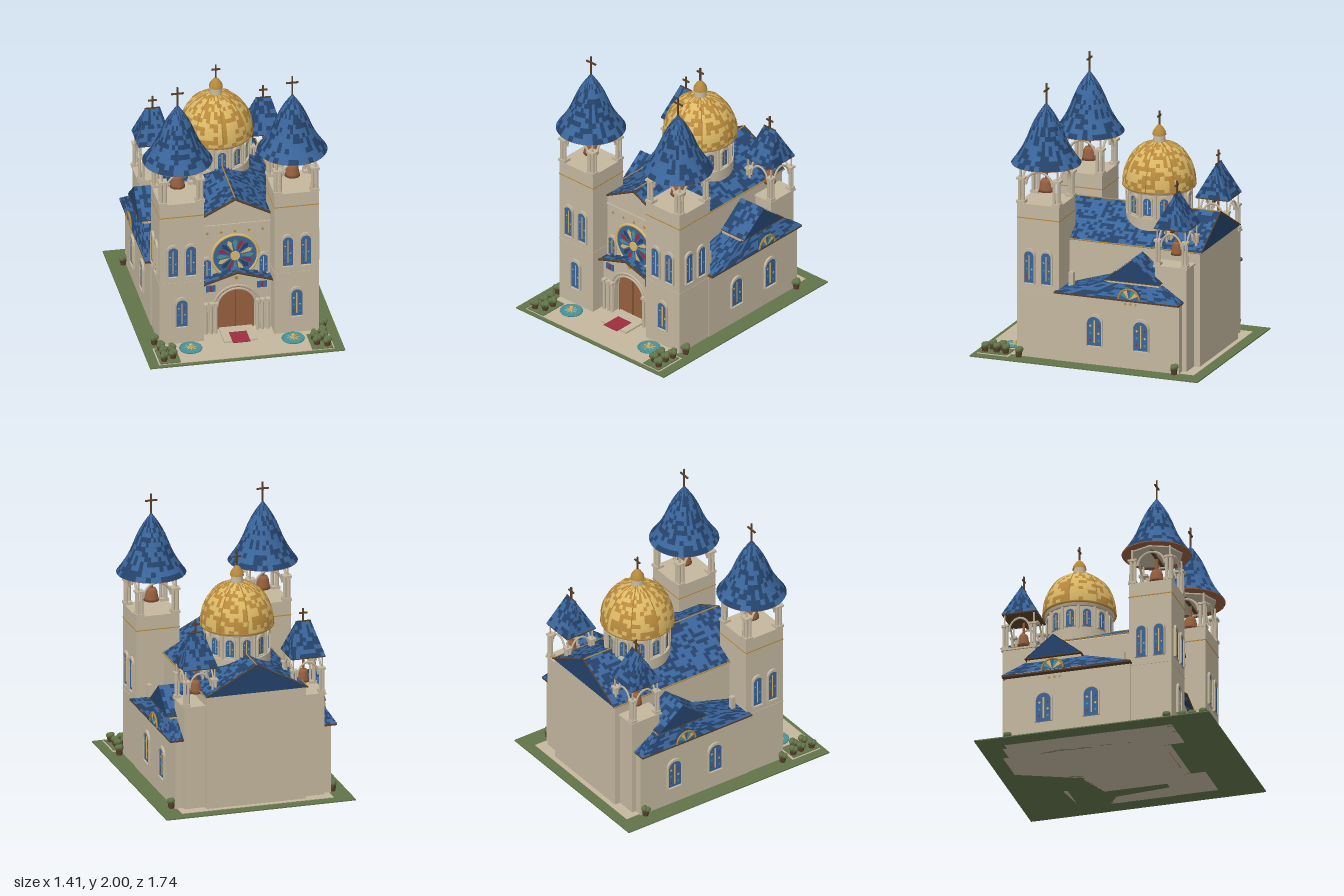
import * as THREE from 'three';

const mat = (name, color, side = THREE.FrontSide) => {
  const m = new THREE.MeshStandardMaterial({ color, side });
  m.name = name;
  return m;
};
const D = THREE.DoubleSide;
const M = {
  stone: mat('stone', 0xc4b79f), blue: mat('blue tile', 0x3a659b, D), navy: mat('navy tile', 0x24426b, D),
  gold: mat('gold', 0xb88a3c, D), pale: mat('pale gold', 0xdcb866, D), wood: mat('copper brown', 0x965f3e),
  bronze: mat('dark bronze', 0x5a4028, D), grass: mat('grass', 0x62744a), teal: mat('teal', 0x4a9298, D),
  red: mat('crimson', 0x9c2d40, D),
};

let seed = 7;
const rnd = () => (seed = (seed * 16807) % 2147483647) / 2147483647;

function add(parent, name, geo, material, x = 0, y = 0, z = 0) {
  const m = new THREE.Mesh(geo, material);
  m.name = name;
  m.position.set(x, y, z);
  parent.add(m);
  return m;
}
const box = (w, h, d) => new THREE.BoxGeometry(w, h, d);
const cyl = (r1, r2, h, n = 16) => new THREE.CylinderGeometry(r1, r2, h, n);
const poly = (pts) => new THREE.Shape(pts.map((p) => new THREE.Vector2(...p)));
const ext = (shape, depth) => new THREE.ExtrudeGeometry(shape, { depth, bevelEnabled: false, curveSegments: 12 });
const lathe = (pts, n = 32) => new THREE.LatheGeometry(pts.map((p) => new THREE.Vector2(...p)), n);
function group(parent, name, x = 0, y = 0, z = 0) {
  const g = new THREE.Group();
  g.name = name;
  g.position.set(x, y, z);
  parent.add(g);
  return g;
}

// Sorts the quads of a grid geometry into two tile colours
function tiled(geo, share) {
  const idx = Array.from(geo.index.array), a = [], b = [];
  for (let i = 0; i < idx.length; i += 6) (rnd() < share ? b : a).push(...idx.slice(i, i + 6));
  geo.setIndex([...a, ...b]);
  geo.clearGroups();
  geo.addGroup(0, a.length, 0);
  geo.addGroup(a.length, b.length, 1);
  return geo;
}
// Tiled flat roof slope between four corners
function slope(parent, name, a, b, c, d, nu, nv) {
  const [A, B, C, E] = [a, b, c, d].map((p) => new THREE.Vector3(...p));
  const geo = new THREE.PlaneGeometry(1, 1, nu, nv), p = geo.attributes.position;
  for (let i = 0; i < p.count; i++) {
    const u = p.getX(i) + 0.5, v = p.getY(i) + 0.5;
    const lo = A.clone().lerp(B, u), hi = E.clone().lerp(C, u);
    p.setXYZ(i, ...lo.lerp(hi, v).toArray());
  }
  geo.computeVertexNormals();
  add(parent, name, tiled(geo, 0.5), [M.blue, M.navy]);
}
// Four slopes from a base rectangle to a top rectangle, each [x0, x1, z0, z1]
function hipRoof(parent, name, [x0, x1, z0, z1], y0, [u0, u1, w0, w1], y1, n) {
  const lo = [[x0, y0, z1], [x1, y0, z1], [x1, y0, z0], [x0, y0, z0]];
  const hi = [[u0, y1, w1], [u1, y1, w1], [u1, y1, w0], [u0, y1, w0]];
  for (let i = 0; i < 4; i++) slope(parent, name, lo[i], lo[(i + 1) % 4], hi[(i + 1) % 4], hi[i], n, 9);
}
// Thin bar between two points
function bar(parent, name, a, b, r, material) {
  const A = new THREE.Vector3(...a), B = new THREE.Vector3(...b);
  const m = add(parent, name, cyl(r, r, A.distanceTo(B), 6), material, ...A.clone().lerp(B, 0.5).toArray());
  m.quaternion.setFromUnitVectors(new THREE.Vector3(0, 1, 0), B.sub(A).normalize());
}

function archShape(w, h) {
  const s = new THREE.Shape(), r = w / 2;
  s.moveTo(-r, 0);
  s.lineTo(r, 0);
  s.lineTo(r, h - r);
  s.absarc(0, h - r, r, 0, Math.PI, false);
  s.closePath();
  return s;
}
function archWindow(parent, x, y, z, w, h, turn = 0) {
  const g = group(parent, 'window', x, y, z);
  g.rotation.y = turn;
  const frame = archShape(w + 0.02, h + 0.02);
  frame.holes.push(archShape(w, h));
  add(g, 'windowFrame', ext(frame, 0.016), M.stone, 0, -0.005, 0);
  add(g, 'windowGlass', ext(archShape(w, h), 0.006), M.blue);
  add(g, 'windowStripe', box(w * 0.1, h * 0.75, 0.004), M.pale, 0, h * 0.47, 0.007);
  for (const s of [-1, 1]) for (let k = 0; k < 3; k++)
    add(g, 'windowPane', new THREE.CircleGeometry(w * 0.1, 4), [M.red, M.teal, M.pale][(k + (s > 0 ? 1 : 0)) % 3], s * w * 0.28, h * (0.18 + k * 0.24), 0.008);
}
function cross(parent, x, y, z, h) {
  const g = group(parent, 'cross', x, y, z);
  add(g, 'crossPost', box(0.011, h, 0.011), M.bronze, 0, h / 2, 0);
  add(g, 'crossArm', box(h * 0.6, 0.011, 0.011), M.bronze, 0, h * 0.66, 0);
}

// Open bell stage with clustered corner columns, four arches and a bell
function belfry(parent, x, y, z, k) {
  const g = group(parent, 'belfry', x, y, z);
  g.scale.set(k, 1, k);
  for (const sx of [-1, 1]) for (const sz of [-1, 1]) {
    for (const [dx, dz] of [[0, 0], [0.03, 0], [0, 0.03]])
      add(g, 'column', cyl(0.012, 0.013, 0.17, 8), M.stone, sx * (0.147 - dx), 0.09, sz * (0.147 - dz));
    add(g, 'columnBase', box(0.062, 0.02, 0.062), M.stone, sx * 0.134, 0.01, sz * 0.134);
    add(g, 'columnCapital', box(0.064, 0.016, 0.064), M.stone, sx * 0.134, 0.182, sz * 0.134);
    add(g, 'roofPost', cyl(0.008, 0.008, 0.09, 6), M.stone, sx * 0.14, 0.23, sz * 0.14);
  }
  for (let i = 0; i < 4; i++) {
    const arch = add(g, 'arch', new THREE.TorusGeometry(0.1, 0.009, 6, 16, Math.PI), M.stone);
    arch.position.set(Math.sin(i * Math.PI / 2) * 0.14, 0.138, Math.cos(i * Math.PI / 2) * 0.14);
    arch.rotation.y = i * Math.PI / 2;
  }
  add(g, 'bell', lathe([[0, 0.065], [0.056, 0.06], [0.05, 0.08], [0.043, 0.13], [0.034, 0.15], [0, 0.155]], 16), M.wood);
  add(g, 'bellHanger', cyl(0.012, 0.012, 0.1, 8), M.wood, 0, 0.2, 0);
  add(g, 'bellBeam', box(0.28, 0.016, 0.02), M.bronze, 0, 0.25, 0);
}

export function createModel() {
  const root = new THREE.Group();
  root.name = 'church';

  // Ground, paving and steps
  add(root, 'lawn', box(1.41, 0.008, 1.74), M.grass, 0, 0.004, 0);
  add(root, 'paving', box(1.13, 0.004, 1.6), M.stone, 0, 0.01, 0.01);
  add(root, 'forecourt', box(1.27, 0.005, 0.24), M.stone, 0, 0.01, 0.72);
  add(root, 'step', box(0.24, 0.02, 0.22), M.stone, 0, 0.015, 0.51);
  add(root, 'carpet', box(0.126, 0.004, 0.155), M.red, 0, 0.028, 0.578);

  // Nave with gabled roof
  const body = poly([[-0.37, 0], [0.37, 0], [0.37, 0.85], [0, 1.045], [-0.37, 0.85]]);
  add(root, 'nave', ext(body, 1.155), M.stone, 0, 0, -0.755);
  add(root, 'rearGable', ext(poly([[-0.375, 0.852], [0.375, 0.852], [0, 1.053]]), 0.008), M.navy, 0, 0, -0.765);
  for (const s of [-1, 1]) {
    slope(root, 'naveRoof', [s * 0.38, 0.855, 0.405], [s * 0.38, 0.855, -0.77], [0, 1.06, -0.77], [0, 1.06, 0.405], 44, 16);
    bar(root, 'frontRake', [s * 0.26, 0.915, 0.406], [0, 1.05, 0.406], 0.008, M.bronze);
    bar(root, 'rearRake', [s * 0.38, 0.855, -0.768], [0, 1.06, -0.768], 0.005, M.bronze);
    bar(root, 'naveEave', [s * 0.38, 0.855, 0.24], [s * 0.38, 0.855, -0.77], 0.005, M.gold);
  }
  bar(root, 'ridge', [0, 1.06, 0.4], [0, 1.06, -0.77], 0.005, M.gold);

  // Facade bands, diamonds and rose window
  add(root, 'facadeBand', box(0.52, 0.01, 0.02), M.stone, 0, 0.85, 0.4);
  for (let i = -2; i <= 2; i++) add(root, 'diamond', new THREE.CircleGeometry(0.013, 4), M.gold, i * 0.1, 0.79, 0.403);
  const rose = group(root, 'roseWindow', 0, 0.595, 0.402);
  add(rose, 'roseGlass', new THREE.CircleGeometry(0.16, 40), M.blue, 0, 0, 0.003);
  add(rose, 'roseRim', new THREE.TorusGeometry(0.166, 0.011, 8, 40), M.pale);
  add(rose, 'roseHub', cyl(0.035, 0.035, 0.012, 20).rotateX(Math.PI / 2), M.pale, 0, 0, 0.006);
  for (let i = 0; i < 16; i++) {
    const petal = add(rose, 'rosePetal', new THREE.ShapeGeometry(poly([[0.035, 0], [0.11, -0.018], [0.135, 0], [0.11, 0.018]])),
      [M.teal, M.pale, M.navy, M.red][i % 4], 0, 0, 0.006);
    petal.rotation.z = i * Math.PI / 8;
  }

  // Entrance porch with arched door and pediment
  const porch = group(root, 'porch');
  const wall = poly([[-0.25, 0], [0.25, 0], [0.25, 0.42], [0, 0.495], [-0.25, 0.42]]);
  wall.holes.push(archShape(0.3, 0.365));
  add(porch, 'porchWall', ext(wall, 0.05), M.stone, 0, 0, 0.4);
  add(porch, 'door', ext(archShape(0.27, 0.36), 0.008), M.wood, 0, 0, 0.402);
  add(porch, 'doorSeam', box(0.005, 0.34, 0.004), M.bronze, 0, 0.18, 0.411);
  for (const r of [0.14, 0.165])
    add(porch, 'doorArch', new THREE.TorusGeometry(r, 0.009, 6, 24, Math.PI), M.stone, 0, 0.215, 0.455);
  add(porch, 'diamond', new THREE.CircleGeometry(0.018, 4), M.gold, 0, 0.44, 0.453);
  for (const s of [-1, 1]) {
    for (const x of [0.15, 0.185, 0.225]) {
      add(porch, 'porchColumn', cyl(0.011, 0.012, 0.23, 10), M.stone, s * x, 0.13, 0.468);
      add(porch, 'porchCapital', box(0.03, 0.02, 0.035), M.stone, s * x, 0.252, 0.468);
    }
    slope(porch, 'porchRoof', [s * 0.26, 0.424, 0.495], [s * 0.26, 0.424, 0.4], [0, 0.505, 0.4], [0, 0.505, 0.495], 4, 8);
    bar(porch, 'porchRake', [s * 0.26, 0.42, 0.492], [0, 0.502, 0.492], 0.008, M.bronze);
    archWindow(root, s * 0.205, 0.44, 0.401, 0.06, 0.15);
    add(porch, 'porchPane', box(0.07, 0.05, 0.006), M.blue, s * 0.185, 0.37, 0.452);
    add(porch, 'porchPaneStripe', box(0.012, 0.04, 0.004), M.red, s * 0.185, 0.37, 0.456);
  }

  // Dome on its windowed drum
  const dome = group(root, 'dome', 0, 0, -0.3);
  add(dome, 'drumBase', cyl(0.237, 0.237, 0.12, 36), M.stone, 0, 0.96, 0);
  add(dome, 'drum', cyl(0.222, 0.222, 0.22, 36), M.stone, 0, 1.11, 0);
  add(dome, 'drumCornice', cyl(0.25, 0.24, 0.025, 36), M.stone, 0, 1.208, 0);
  for (let i = 0; i < 12; i++) {
    const a = i * Math.PI / 6, b = a + Math.PI / 12;
    archWindow(dome, Math.sin(a) * 0.221, 1.04, Math.cos(a) * 0.221, 0.06, 0.135, a);
    add(dome, 'drumColumn', cyl(0.01, 0.01, 0.18, 8), M.stone, Math.sin(b) * 0.23, 1.11, Math.cos(b) * 0.23);
  }
  const shell = [];
  for (let i = 0; i <= 14; i++) {
    const t = i / 14 * 1.45 - 0.05;
    shell.push([0.263 * Math.cos(t), 1.232 + 0.305 * Math.sin(t)]);
  }
  add(dome, 'domeShell', tiled(lathe(shell, 48), 0.55), [M.gold, M.pale]);
  add(dome, 'domeRim', new THREE.TorusGeometry(0.257, 0.009, 6, 40).rotateX(Math.PI / 2), M.gold, 0, 1.22, 0);
  for (let i = 0; i < 8; i++) {
    const path = new THREE.CatmullRomCurve3(shell.map(([r, y]) => new THREE.Vector3(r, y, 0)));
    add(dome, 'domeRib', new THREE.TubeGeometry(path, 16, 0.004, 5), M.gold).rotation.y = i * Math.PI / 4;
  }
  add(dome, 'lantern', cyl(0.04, 0.046, 0.06, 16), M.stone, 0, 1.555, 0);
  add(dome, 'lanternCap', lathe([[0.05, 1.58], [0.046, 1.605], [0.026, 1.635], [0.012, 1.65], [0, 1.66]], 20), M.gold);
  cross(dome, 0, 1.65, 0, 0.105);

  for (const s of [-1, 1]) {
    // Front bell tower
    const tower = group(root, 'tower', s * 0.415, 0, 0.397);
    add(tower, 'towerBody', box(0.32, 1.14, 0.318), M.stone, 0, 0.57, 0);
    add(tower, 'towerBand', box(0.325, 0.007, 0.323), M.gold, 0, 1.035, 0);
    add(tower, 'towerBand', box(0.325, 0.006, 0.323), M.stone, 0, 0.5, 0);
    belfry(tower, 0, 1.14, 0, 1);
    const spire = [];
    for (let i = 0; i <= 14; i++) {
      const t = i / 14;
      spire.push([0.25 * (1 - t) - 0.012 * Math.sin(t * Math.PI * 2), 1.415 + 0.445 * t]);
    }
    add(tower, 'spire', tiled(lathe(spire, 40), 0.45), [M.blue, M.navy]);
    add(tower, 'spireSoffit', cyl(0.247, 0.247, 0.008, 40), M.wood, 0, 1.414, 0);
    add(tower, 'spireCeiling', cyl(0.19, 0.19, 0.012, 8), M.stone, 0, 1.406, 0);
    cross(tower, 0, 1.85, 0, 0.15);
    archWindow(tower, 0, 0.15, 0.159, 0.08, 0.22);
    for (const d of [-0.065, 0.065]) {
      archWindow(tower, d, 0.56, 0.159, 0.072, 0.24);
      archWindow(tower, s * 0.16, 0.56, d, 0.072, 0.24, s * Math.PI / 2);
    }

    // Side aisle, roof and cross gable
    const aisle = group(root, 'aisle');
    add(aisle, 'aisleWall', box(0.23, 0.52, 0.93), M.stone, s * 0.465, 0.26, -0.215);
    add(aisle, 'aisleCornice', box(0.27, 0.012, 0.95), M.bronze, s * 0.485, 0.52, -0.215);
    hipRoof(aisle, 'aisleRoof', [s * 0.37, s * 0.622, -0.69, 0.25], 0.528, [s * 0.37, s * 0.56, -0.53, -0.1], 0.635, 16);
    for (const z of [-0.037, -0.39]) archWindow(aisle, s * 0.58, 0.15, z, 0.11, 0.22, s * Math.PI / 2);
    add(aisle, 'gableWall', box(0.2, 0.13, 0.4), M.stone, s * 0.465, 0.585, -0.32);
    for (const z of [-0.11, -0.53])
      slope(aisle, 'gableRoof', [s * 0.37, 0.65, z], [s * 0.59, 0.65, z], [s * 0.59, 0.82, -0.32], [s * 0.37, 0.82, -0.32], 8, 8);
    add(aisle, 'gableEnd', ext(poly([[-0.205, 0.65], [0.205, 0.65], [0, 0.815]]), 0.008), M.navy, s * 0.58, 0, -0.32).rotation.y = s * Math.PI / 2;
    add(aisle, 'gableSoffit', box(0.22, 0.006, 0.42), M.bronze, s * 0.48, 0.65, -0.32);
    const lunette = group(aisle, 'lunette', s * 0.625, 0.53, -0.315);
    lunette.rotation.y = s * Math.PI / 2;
    add(lunette, 'lunetteRim', new THREE.TorusGeometry(0.08, 0.007, 6, 20, Math.PI), M.gold);
    for (let i = 0; i < 7; i++)
      add(lunette, 'lunettePane', new THREE.CircleGeometry(0.077, 4, i * Math.PI / 7, Math.PI / 7), [M.blue, M.pale, M.teal][i % 3]);
    add(lunette, 'lunetteHood', new THREE.CylinderGeometry(0.08, 0.08, 0.06, 16, 1, true, Math.PI / 2, Math.PI).rotateX(Math.PI / 2), M.navy, 0, 0, -0.03);
    for (const d of [-0.04, 0, 0.04])
      add(aisle, 'diamond', new THREE.CircleGeometry(0.011, 4), M.gold, s * 0.583, 0.485, -0.31 + d).rotation.y = s * Math.PI / 2;
    add(aisle, 'pinnacle', box(0.03, 0.12, 0.035), M.stone, s * 0.5, 0.59, 0.17);

    // Rear bell turret
    const turret = group(root, 'turret', s * 0.4, 0, -0.592);
    add(turret, 'turretBody', box(0.24, 0.77, 0.24), M.stone, 0, 0.385, 0);
    add(turret, 'turretCornice', box(0.262, 0.014, 0.262), M.stone, 0, 0.772, 0);
    belfry(turret, 0, 0.778, 0, 0.77);
    add(turret, 'turretSoffit', box(0.25, 0.01, 0.25), M.bronze, 0, 1.052, 0);
    hipRoof(turret, 'turretRoof', [-0.127, 0.127, -0.127, 0.127], 1.055, [-0.055, 0.055, 0, 0], 1.29, 8);
    bar(turret, 'turretRidge', [-0.055, 1.29, 0], [0.055, 1.29, 0], 0.005, M.bronze);
    cross(turret, 0, 1.285, 0, 0.1);

    // Fountain
    const fountain = group(root, 'fountain', s * 0.37, 0.012, 0.655);
    add(fountain, 'basin', new THREE.TorusGeometry(0.076, 0.007, 6, 28).rotateX(Math.PI / 2), M.teal, 0, 0.01, 0);
    add(fountain, 'water', cyl(0.075, 0.06, 0.012, 28), M.teal, 0, 0.006, 0);
    add(fountain, 'spout', cyl(0.012, 0.016, 0.04, 10), M.pale, 0, 0.02, 0);
    for (let i = 0; i < 4; i++) add(fountain, 'jet', box(0.09, 0.003, 0.005), M.pale, 0, 0.014, 0).rotation.y = i * Math.PI / 4;

    // Planting beds and potted shrubs
    add(root, 'plantingBed', box(0.15, 0.008, 0.22), M.grass, s * 0.55, 0.014, 0.725);
    for (const [x, z] of [[0.585, 0.64], [0.515, 0.69], [0.58, 0.71], [0.52, 0.765], [0.59, 0.795], [0.61, 0.53], [0.6, -0.65]]) {
      const shrub = group(root, 'shrub', s * x, 0.01, z);
      add(shrub, 'pot', cyl(0.026, 0.02, 0.04, 10), M.bronze, 0, 0.02, 0);
      for (const [dx, dy, dz] of [[0.012, 0.055, 0], [-0.012, 0.052, 0.01], [0, 0.06, -0.012]])
        add(shrub, 'foliage', new THREE.IcosahedronGeometry(0.022, 1), M.grass, dx, dy, dz);
    }
  }
  return root;
}
